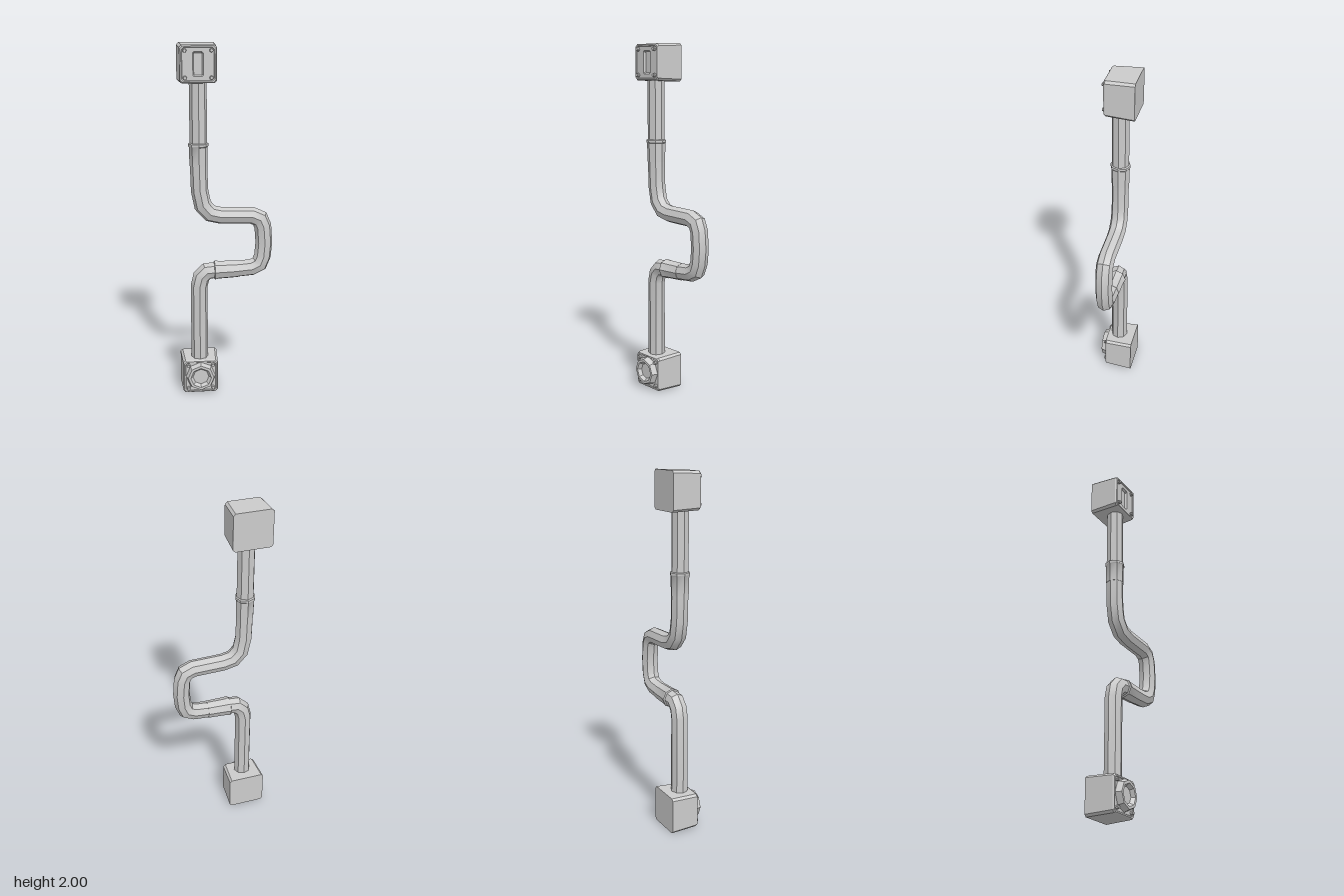
import * as THREE from 'three';
import { toCreasedNormals } from 'three/addons/utils/BufferGeometryUtils.js';

const V = (x, y, z) => new THREE.Vector3(x, y, z);
const material = new THREE.MeshStandardMaterial({ color: 0xcccccc });
const X = -0.157, PIPE_Z = -0.003, SIDES = 8;

// Skin a series of equally sized loops and close both ends
function loft(loops, crease) {
  const n = loops[0].length, pos = [], index = [];
  loops.forEach(loop => loop.forEach(p => pos.push(p.x, p.y, p.z)));
  for (let i = 0; i < loops.length - 1; i++) {
    for (let j = 0; j < n; j++) {
      const k = (j + 1) % n, a = i * n, b = a + n;
      index.push(a + j, a + k, b + k, a + j, b + k, b + j);
    }
  }
  const last = (loops.length - 1) * n;
  for (let j = 1; j < n - 1; j++) {
    index.push(0, j + 1, j, last, last + j, last + j + 1);
  }
  const g = new THREE.BufferGeometry();
  g.setAttribute('position', new THREE.Float32BufferAttribute(pos, 3));
  g.setIndex(index);
  return toCreasedNormals(g, crease);
}

function add(parent, name, geometry) {
  const mesh = new THREE.Mesh(geometry, material);
  mesh.name = name;
  parent.add(mesh);
  return mesh;
}

// Octagonal tube along [x, y, radius] points, mitred at each bend
function pipe(points) {
  const at = i => V(points[i][0], points[i][1], PIPE_Z);
  const end = points.length - 1;
  const loops = points.map(([, , r], i) => {
    const p = at(i);
    const before = at(Math.max(i, 1)).sub(at(Math.max(i, 1) - 1)).normalize();
    const next = Math.min(i, end - 1);
    const after = at(next + 1).sub(at(next)).normalize();
    const t = before.clone().add(after).normalize();
    const mitre = 1 / Math.max(0.8, t.dot(after));
    return Array.from({ length: SIDES }, (_, j) => {
      const a = j / SIDES * Math.PI * 2, c = Math.cos(a) * r * mitre;
      return V(p.x - t.y * c, p.y + t.x * c, p.z + Math.sin(a) * r);
    });
  });
  return loft(loops, 0.62);
}

// Rectangle with clipped corners, facing +z
function rectLoop(w, h, c, z) {
  return [[w, -h + c], [w, h - c], [w - c, h], [-w + c, h],
    [-w, h - c], [-w, -h + c], [-w + c, -h], [w - c, -h]].map(([x, y]) => V(x, y, z));
}

// Tapered junction box with rimmed front panel and four corner bolts
function junctionBox(name, y, slotted) {
  const group = new THREE.Group();
  group.name = name;
  group.position.set(X, y, 0);
  const loops = [
    rectLoop(0.107, 0.105, 0.012, -0.1),
    rectLoop(0.1, 0.1, 0.013, 0.058),
    rectLoop(0.095, 0.095, 0.013, 0.066),
    rectLoop(0.088, 0.088, 0.012, 0.066),
    rectLoop(0.085, 0.085, 0.012, 0.062),
  ];
  if (slotted) {
    loops.push(rectLoop(0.028, 0.064, 0.006, 0.062), rectLoop(0.022, 0.057, 0.004, 0.05));
  }
  add(group, 'housing', loft(loops, 0.3));
  for (const sx of [-1, 1]) {
    for (const sy of [-1, 1]) {
      const bolt = add(group, 'bolt', toCreasedNormals(new THREE.CylinderGeometry(0.009, 0.012, 0.02, 8), 0.3));
      bolt.rotation.x = Math.PI / 2;
      bolt.position.set(sx * 0.071, sy * 0.071, 0.068);
    }
  }
  return group;
}

export function createModel() {
  const model = new THREE.Group();
  model.name = 'pipeWithJunctionBoxes';

  // Pipe with its sideways detour
  const R = 0.048;
  const path = [
    [-0.157, 0.17], [-0.157, 0.64], [-0.144, 0.695], [-0.112, 0.727], [-0.055, 0.732],
    [0.06, 0.735], [0.145, 0.742], [0.188, 0.763], [0.207, 0.81], [0.214, 0.89],
    [0.207, 0.985], [0.189, 1.028], [0.145, 1.048], [-0.03, 1.053], [-0.09, 1.067],
    [-0.133, 1.115], [-0.15, 1.2], [-0.154, 1.34], [-0.155, 1.83],
  ].map(([x, y]) => [x, y, R]);
  add(model, 'pipe', pipe(path));

  // Sleeves with a raised ring at one end
  add(model, 'upperSleeve', pipe([
    [-0.154, 1.34, 0.05], [-0.155, 1.445, 0.052], [-0.155, 1.45, 0.056],
    [-0.155, 1.463, 0.056], [-0.155, 1.467, 0.049],
  ]));
  add(model, 'lowerSleeve', pipe([
    [-0.071, 0.731, 0.049], [-0.067, 0.731, 0.056], [-0.053, 0.732, 0.056],
    [-0.048, 0.732, 0.053], [0.065, 0.735, 0.05],
  ]));

  model.add(junctionBox('upperBox', 1.895, true));
  const lowerBox = junctionBox('lowerBox', 0.105, false);
  model.add(lowerBox);

  // Octagonal cap with a dished face
  const profile = [[0.085, 0.058], [0.085, 0.068], [0.075, 0.096], [0.06, 0.096],
    [0.046, 0.076], [0, 0.076]].map(([r, z]) => new THREE.Vector2(r, z));
  const cap = add(lowerBox, 'dishedCap', toCreasedNormals(new THREE.LatheGeometry(profile, SIDES), 0.3));
  cap.rotation.x = Math.PI / 2;
  cap.position.y = 0.004;

  return model;
}
